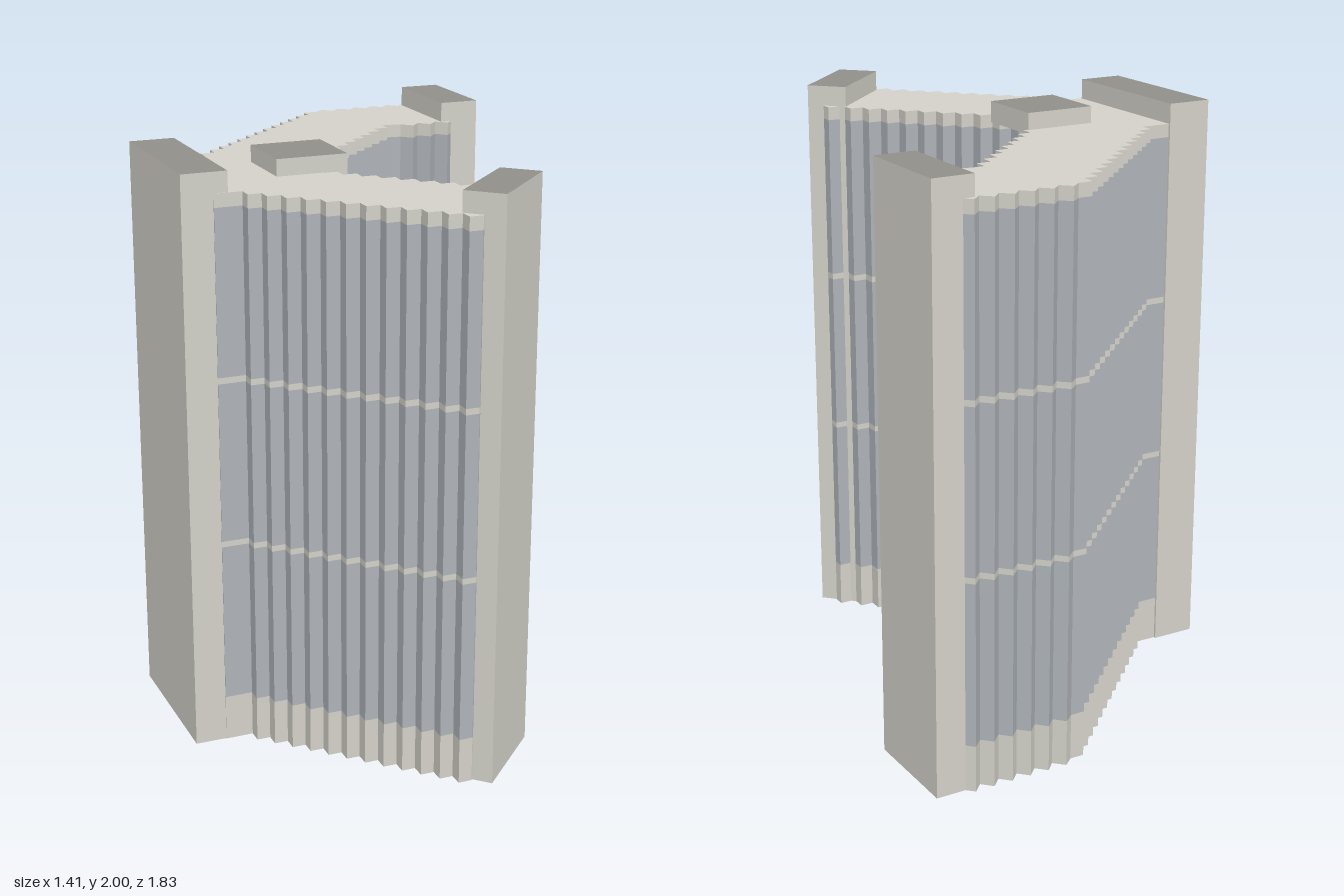
import * as THREE from 'three';

const mat = (name, color) => {
  const m = new THREE.MeshStandardMaterial({ color });
  m.name = name;
  return m;
};

// Plan outline as [x, z] points: stepped diagonal wings and a pleated end
function planOutline() {
  const pts = [];
  const add = (x, z) => pts.push(new THREE.Vector2(x, -z));
  const stairs = (x, z, dx, dz, n, xFirst) => {
    add(x, z);
    for (let i = 0; i < n; i++) {
      if (xFirst) add(x + dx, z); else add(x, z + dz);
      x += dx;
      z += dz;
      add(x, z);
    }
  };
  // outer wall of the front wing
  add(-0.6, 0.283);
  stairs(-0.504, 0.283, 0.0472, 0.0486, 12, false);
  add(0.3, 0.645);
  add(0.324, 0.62);
  add(0.324, 0.581);
  // inner wall of the front wing, back to the elbow
  add(0.266, 0.581);
  stairs(0.266, 0.571, -0.0479, -0.0489, 10, false);
  // inner wall of the rear wing
  stairs(-0.213, -0.024, 0.0493, -0.0472, 11, true);
  add(0.368, -0.542);
  for (let i = 0; i < 7; i++) add(0.402 + 0.035 * i, i % 2 ? -0.499 : -0.537);
  // outer wall of the rear wing
  for (let i = 12; i > 0; i--) add(0.203 + 0.0339 * i, i % 2 ? -0.915 : -0.881);
  stairs(0.203, -0.886, -0.0499, 0.0473, 13, true);
  add(-0.6, -0.272);
  return new THREE.Shape(pts);
}

export function createModel() {
  const stone = mat('pale stone', 0xd3d1c8);
  const glass = mat('grey blue glass', 0xaeb3b9);
  const roof = mat('dark roof', 0x918f89);
  const model = new THREE.Group();
  model.name = 'towerBlock';

  // Alternating stone and glass bands stacked on the same plan
  const plan = planOutline();
  const levels = [0, 0.16, 0.72, 0.74, 1.296, 1.317, 1.884, 1.93];
  for (let i = 0; i < levels.length - 1; i++) {
    const geo = new THREE.ExtrudeGeometry(plan, {
      depth: levels[i + 1] - levels[i], bevelEnabled: false,
    });
    geo.rotateX(-Math.PI / 2);
    const band = new THREE.Mesh(geo, i % 2 ? glass : stone);
    band.name = i % 2 ? 'windowBand' : 'stoneBand';
    band.position.y = levels[i];
    model.add(band);
  }

  // Plain stone blocks with dark roofs
  const block = (name, w, d, y0, y1, x, z, turn = 0) => {
    const mesh = new THREE.Mesh(
      new THREE.BoxGeometry(w, y1 - y0, d),
      [stone, stone, roof, stone, stone, stone]
    );
    mesh.name = name;
    mesh.position.set(x, (y0 + y1) / 2, z);
    mesh.rotation.y = turn;
    model.add(mesh);
  };
  block('sideEndWall', 0.157, 0.56, 0, 2, -0.63, 0);
  block('rearEndWall', 0.143, 0.365, 0, 2, 0.633, -0.708);
  block('frontEndWall', 0.35, 0.142, 0, 2, 0.19, 0.738, Math.PI / 4);
  block('roofHut', 0.25, 0.252, 1.915, 1.988, -0.205, 0);

  return model;
}
